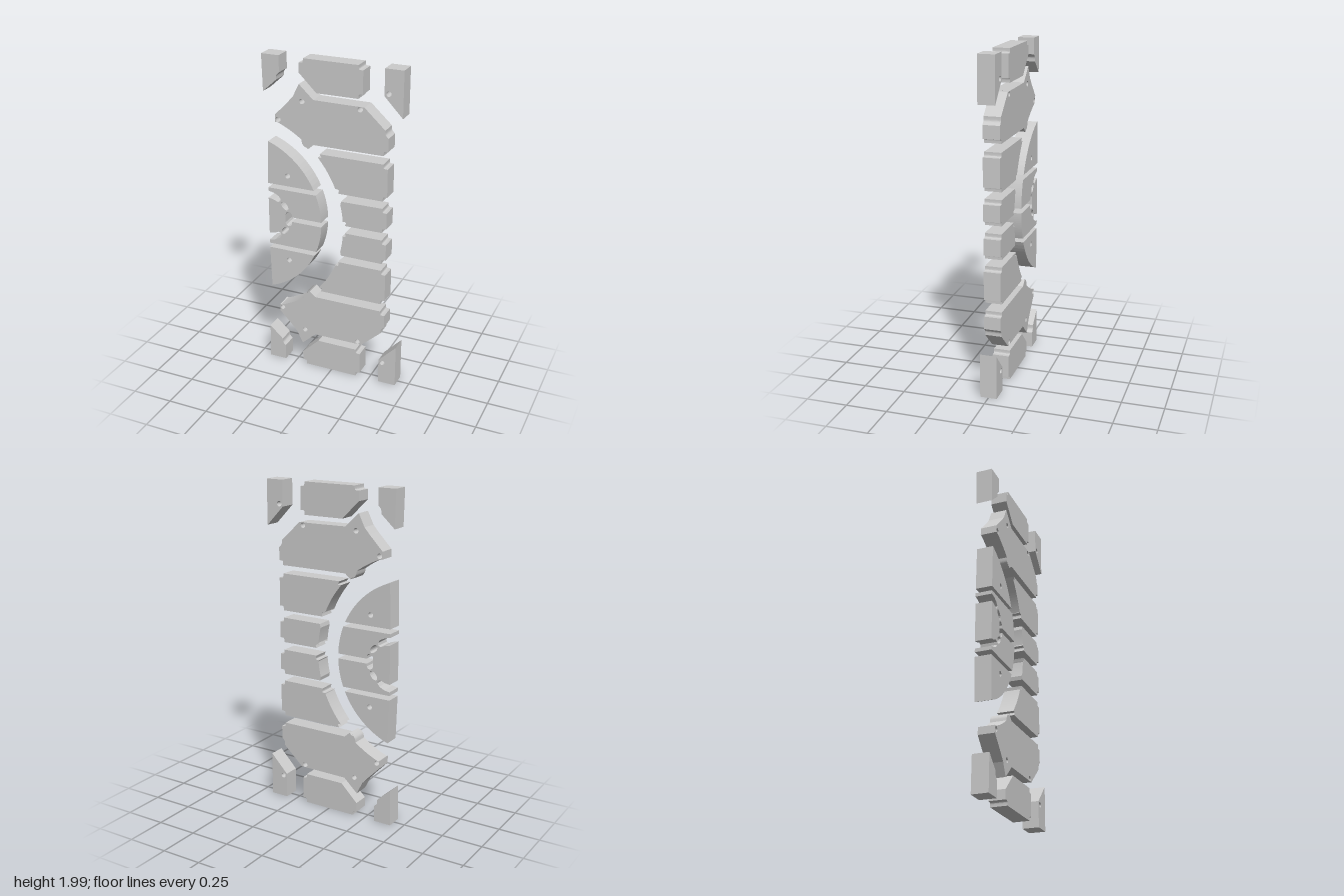
import * as THREE from 'three';

const DEPTH = 0.1, CY = 1.003;      // plate thickness, height of the mirror line
const ARC_X = -0.571;               // centre of the big circular gap
const HOLE = 0.016, BITE = 0.027;   // drilled hole radius, corner notch size

// Points on the circular gap from height y0 to y1 (right-hand side of the circle)
function arc(r, y0, y1, n = 14) {
  const a0 = Math.asin((y0 - CY) / r), a1 = Math.asin((y1 - CY) / r);
  return Array.from({ length: n + 1 }, (_, i) => {
    const a = a0 + (a1 - a0) * i / n;
    return [ARC_X + r * Math.cos(a), CY + r * Math.sin(a)];
  });
}

// Outline from [x, y, notched] corners; a notched corner gets a round bite
function outline(pts) {
  const shape = new THREE.Shape();
  const vec = p => new THREE.Vector2(p[0], p[1]);
  pts.forEach((p, i) => {
    const v = vec(p);
    const go = q => i === 0 ? shape.moveTo(q.x, q.y) : shape.lineTo(q.x, q.y);
    if (!p[2]) return go(v);
    const toPrev = vec(pts[(i + pts.length - 1) % pts.length]).sub(v).setLength(BITE);
    const toNext = vec(pts[(i + 1) % pts.length]).sub(v).setLength(BITE);
    const a = v.clone().add(toPrev), b = v.clone().add(toNext);
    const c = a.clone().add(toNext), d = b.clone().add(toPrev);
    go(a);
    shape.bezierCurveTo(c.x, c.y, d.x, d.y, b.x, b.y);
  });
  shape.closePath();
  return shape;
}

// Closed path for a drilled hole, or a slot when stretched and tilted
function hole(x, y, rx = HOLE, ry = rx, tilt = 0) {
  const path = new THREE.Path();
  path.absellipse(x, y, rx, ry, 0, Math.PI * 2, false, tilt);
  return path;
}

const flip = p => [p[0], 2 * CY - p[1], p[2]];

export function createModel() {
  const model = new THREE.Group();
  const material = new THREE.MeshStandardMaterial({ color: 0xcccccc });

  function plate(name, pts, holes = []) {
    const shape = outline(pts);
    shape.holes = holes.map(h => hole(...h));
    const geometry = new THREE.ExtrudeGeometry(shape, { depth: DEPTH, bevelEnabled: false, curveSegments: 8 });
    geometry.translate(0, 0, -DEPTH / 2);
    const mesh = new THREE.Mesh(geometry, material);
    mesh.name = name;
    model.add(mesh);
  }

  // Upper plate plus its mirror below the centre line
  function pair(name, pts, holes = []) {
    plate(name + 'Upper', pts, holes);
    plate(name + 'Lower', pts.map(flip), holes.map(flip));
  }

  // Corner pieces
  pair('cornerRight', [[-0.43, 2], [-0.32, 2], [-0.32, 1.875, true], [-0.425, 1.78]]);
  pair('cornerLeft', [[0.315, 2], [0.425, 2], [0.425, 1.73], [0.315, 1.845]], [[0.34, 1.86]]);

  // End blocks
  pair('endBlock', [[-0.197, 2, true], [0.19, 2, true], [0.19, 1.81, true], [-0.09, 1.81], [-0.197, 1.915]]);

  // Large shaped plates
  pair('largePlate', [
    [-0.198, 1.85], [-0.11, 1.768], [0.2, 1.765], [0.345, 1.632, true], [0.345, 1.5, true],
    [-0.11, 1.5], [-0.145, 1.47], [-0.165, 1.485], [-0.168, 1.503, true],
    ...arc(0.646, 1.525, 1.608), [-0.352, 1.605], [-0.352, 1.65], [-0.265, 1.74], [-0.235, 1.775],
  ], [[-0.18, 1.75], [0.175, 1.75], [-0.333, 1.622]]);

  // Side blocks following the circular gap
  pair('outerSideBlock', [
    [-0.1, 1.45, true], [0.345, 1.45, true], [0.345, 1.225, true], [0.018, 1.225, true],
    ...arc(0.646, 1.255, 1.415),
  ]);
  pair('innerSideBlock', [
    [0.345, 1.18, true], [0.345, 1.027, true], [0.06, 1.027, true],
    ...arc(0.646, 1.06, 1.155), [0.062, 1.178],
  ]);

  // Outer disc sectors
  pair('discSector', [[-0.41, 1.215], ...arc(0.506, 1.215, 1.48)], [[-0.28, 1.28]]);

  // Inner disc sectors joined to the hub by thin bridges between slots
  const upper = [
    [-0.41, 1.12], [-0.375, 1.113], [-0.348, 1.101], [-0.333, 1.107], [-0.33, 1.124],
    [-0.343, 1.142], [-0.375, 1.158], [-0.41, 1.165], [-0.41, 1.187],
    ...arc(0.506, 1.187, 1.018), [-0.257, 1.018], [-0.258, 1.035], [-0.266, 1.047],
    [-0.281, 1.05], [-0.295, 1.042], [-0.3, 1.028],
  ];
  plate('hubAndInnerSectors', [...upper, ...upper.map(flip).reverse()], [
    [-0.304, 1.083, 0.031, 0.018, -0.85],
    [-0.304, 2 * CY - 1.083, 0.031, 0.018, 0.85],
  ]);

  return model;
}
